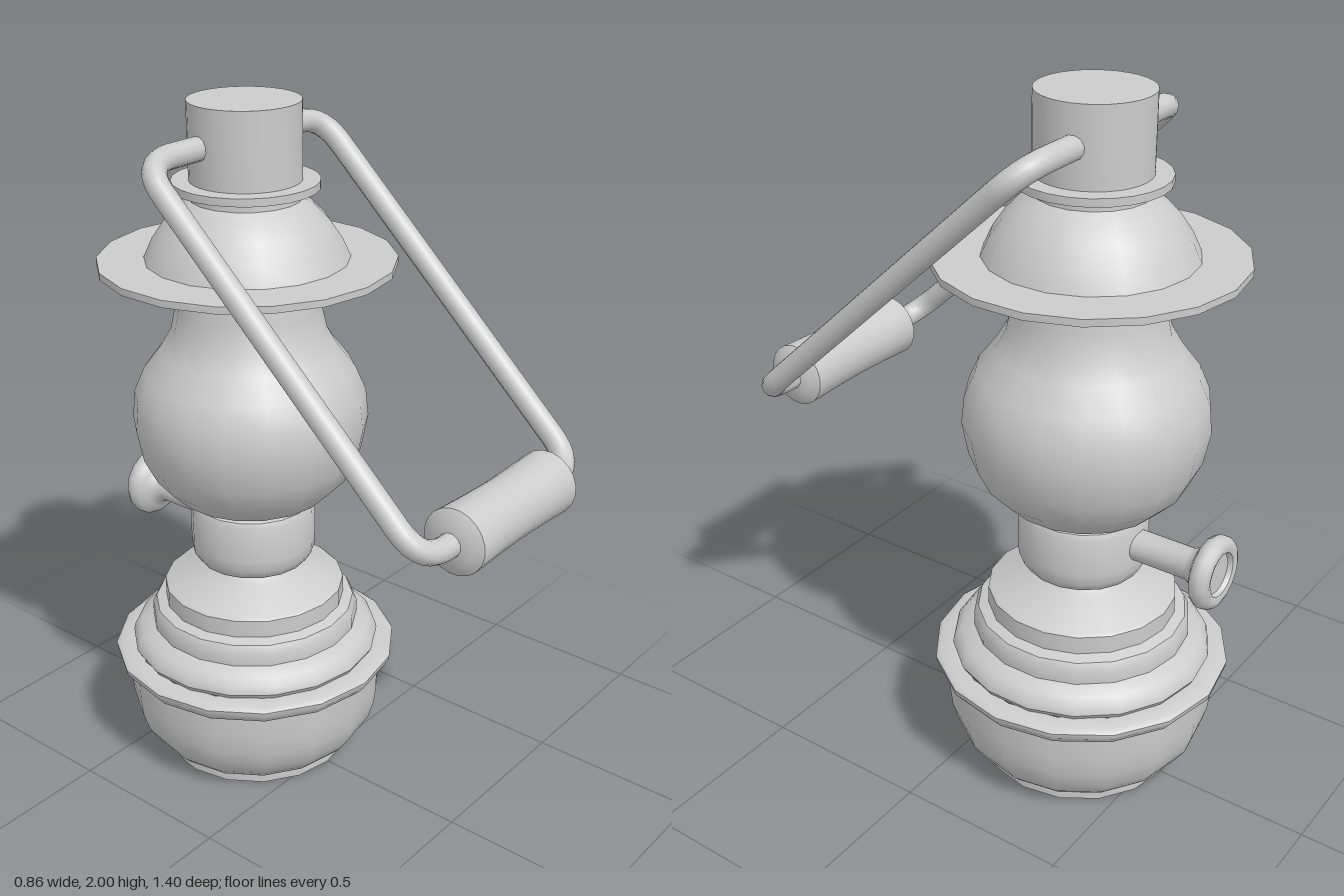
import * as THREE from 'three';
import { toCreasedNormals } from 'three/addons/utils/BufferGeometryUtils.js';

const material = new THREE.MeshStandardMaterial({ color: 0xcccccc });

function part(name, geometry) {
  const mesh = new THREE.Mesh(geometry, material);
  mesh.name = name;
  return mesh;
}

// Turned part; the profile lists [radius, height] from bottom to top
function turned(name, profile, sides = 18) {
  const points = profile.map(([r, y]) => new THREE.Vector2(r, y));
  return part(name, toCreasedNormals(new THREE.LatheGeometry(points, sides), 0.75));
}

export function createModel() {
  const model = new THREE.Group();
  model.name = 'oilLamp';

  // Everything turned stands on one upright axis
  const body = new THREE.Group();
  body.name = 'lampBody';
  body.position.z = -0.255;
  model.add(body);

  body.add(turned('fuelBowl', [
    [0, 0], [0.29, 0], [0.29, 0.03], [0.305, 0.035], [0.335, 0.065], [0.365, 0.11],
    [0.382, 0.165], [0.388, 0.22], [0.39, 0.3], [0.405, 0.303], [0.425, 0.328],
    [0.428, 0.345], [0.415, 0.355], [0.365, 0.355]], 16));

  body.add(turned('steppedShoulder', [
    [0.365, 0.353], [0.375, 0.37], [0.37, 0.39], [0.35, 0.412], [0.312, 0.43],
    [0.312, 0.47], [0.3, 0.492], [0.27, 0.502], [0.27, 0.555], [0.262, 0.562],
    [0.14, 0.597], [0.115, 0.615]]));

  body.add(turned('burner', [
    [0.115, 0.612], [0.165, 0.64], [0.183, 0.668], [0.185, 0.7], [0.185, 0.81],
    [0.178, 0.826], [0.16, 0.832], [0, 0.832]]));

  body.add(turned('glassGlobe', [
    [0, 0.832], [0.16, 0.832], [0.225, 0.86], [0.285, 0.92], [0.322, 0.995],
    [0.34, 1.09], [0.332, 1.17], [0.302, 1.24], [0.252, 1.305], [0.22, 1.36],
    [0.204, 1.43], [0.192, 1.555]]));

  body.add(turned('brim', [[0, 1.548], [0.417, 1.548], [0.417, 1.568], [0, 1.568]]));

  body.add(turned('dome', [
    [0.286, 1.568], [0.262, 1.62], [0.228, 1.67], [0.19, 1.71], [0.155, 1.735],
    [0.153, 1.768]]));

  body.add(turned('collar', [[0, 1.764], [0.204, 1.764], [0.204, 1.786], [0, 1.786]], 24));
  body.add(turned('chimney', [[0.155, 1.786], [0.155, 2], [0, 2]], 32));

  // Wick knob, turned along its stem and pointing backwards
  const knob = turned('wickKnob', [
    [0.045, 0.15], [0.045, 0.345], [0.055, 0.365], [0.075, 0.378], [0.095, 0.388],
    [0.105, 0.405], [0.105, 0.42], [0.096, 0.436], [0.08, 0.443], [0.064, 0.438],
    [0.058, 0.425], [0, 0.425]], 16);
  knob.rotation.x = -Math.PI / 2;
  knob.position.y = 0.75;
  body.add(knob);

  // Carrying handle, drawn flat and tilted forwards from the chimney
  const handle = new THREE.Group();
  handle.name = 'carryingHandle';
  const drop = 0.83, reach = 0.893;
  const length = Math.hypot(drop, reach);
  handle.position.set(0, 1.89, -0.285);
  handle.rotation.x = -Math.atan2(reach, drop);
  model.add(handle);

  const w = 0.355, c = 0.1;
  const v = (x, y) => new THREE.Vector3(x, y, 0);
  const path = new THREE.CurvePath();
  const line = (a, b) => path.add(new THREE.LineCurve3(a, b));
  const bend = (a, corner, b) => path.add(new THREE.QuadraticBezierCurve3(a, corner, b));
  line(v(-0.1, 0), v(-w + c, 0));
  bend(v(-w + c, 0), v(-w, 0), v(-w, -c));
  line(v(-w, -c), v(-w, c - length));
  bend(v(-w, c - length), v(-w, -length), v(c - w, -length));
  line(v(c - w, -length), v(w - c, -length));
  bend(v(w - c, -length), v(w, -length), v(w, c - length));
  line(v(w, c - length), v(w, -c));
  bend(v(w, -c), v(w, 0), v(w - c, 0));
  line(v(w - c, 0), v(0.1, 0));
  handle.add(part('handleWire', new THREE.TubeGeometry(path, 160, 0.033, 12)));

  // Slightly waisted grip
  const grip = turned('handleGrip', [
    [0, -0.235], [0.062, -0.235], [0.092, -0.216], [0.088, -0.1], [0.086, 0],
    [0.088, 0.1], [0.092, 0.216], [0.062, 0.235], [0, 0.235]], 20);
  grip.rotation.z = Math.PI / 2;
  grip.position.y = -length;
  handle.add(grip);

  return model;
}
